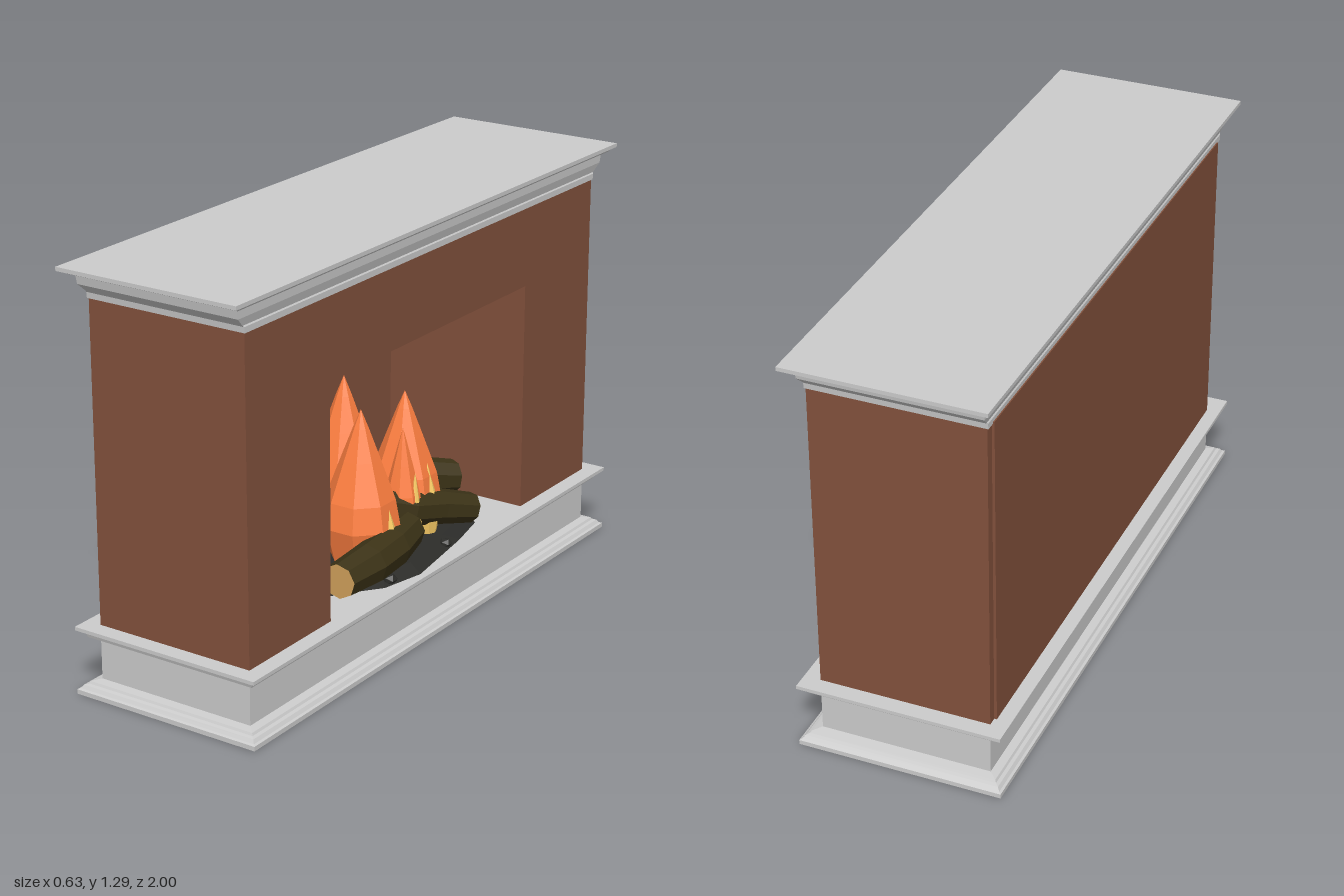
import * as THREE from 'three';

const paint = (color, extra = {}) => new THREE.MeshStandardMaterial({ color, flatShading: true, ...extra });

// Rectangular moulding: rings of [half x, y, half z], stacked and capped
function moulding(rings) {
  const pos = [], idx = [];
  for (const [x, y, z] of rings) pos.push(x, y, z, x, y, -z, -x, y, -z, -x, y, z);
  for (let r = 0; r < rings.length - 1; r++) {
    for (let i = 0; i < 4; i++) {
      const a = r * 4 + i, b = r * 4 + (i + 1) % 4;
      idx.push(a, b, b + 4, a, b + 4, a + 4);
    }
  }
  const t = (rings.length - 1) * 4;
  idx.push(0, 2, 1, 0, 3, 2, t, t + 1, t + 2, t, t + 2, t + 3);
  const geo = new THREE.BufferGeometry();
  geo.setAttribute('position', new THREE.Float32BufferAttribute(pos, 3));
  geo.setIndex(idx);
  const flat = geo.toNonIndexed();
  flat.computeVertexNormals();
  return flat;
}

// Eight-sided teardrop with a pointed tip
function flameGeometry(radius, height) {
  const profile = [[0, 0], [0.75, 0], [1, 0.25], [0.88, 0.42], [0.5, 0.68], [0.2, 0.88], [0, 1]];
  return new THREE.LatheGeometry(profile.map(([r, y]) => new THREE.Vector2(r * radius, y * height)), 8);
}

export function createModel() {
  const model = new THREE.Group();
  const stone = paint(0xcccccc), brick = paint(0x82513c);
  const bark = paint(0x3c3317), cutWood = paint(0xd0a05a);
  const orange = paint(0xff7f40), yellow = paint(0xffd068), ashGrey = paint(0x2c2c29);

  const add = (name, geometry, material, parent = model) => {
    const mesh = new THREE.Mesh(geometry, material);
    mesh.name = name;
    parent.add(mesh);
    return mesh;
  };

  // Stone plinth and mantel, half sizes measured from the wall
  const X = 0.264, Z = 0.913;
  const ring = ([o, y]) => [X + o, y, Z + o];
  add('plinth', moulding([
    [0.052, 0], [0.052, 0.014], [0.045, 0.017], [0.038, 0.027], [0.028, 0.03], [0.024, 0.037],
    [0, 0.042], [0, 0.176], [0.026, 0.176], [0.03, 0.188], [0.034, 0.198], [0.052, 0.2], [0.052, 0.211],
  ].map(ring)), stone);
  add('mantel', moulding([
    [0.268, 1.19, 0.916], [0.268, 1.208, 0.918], [0.265, 1.212, 0.922], [0.272, 1.238, 0.95],
    [0.273, 1.265, 0.955], [0.288, 1.27, 0.972], [0.294, 1.28, 0.984], [0.304, 1.282, 1], [0.304, 1.294, 1],
  ]), stone);

  // Brick chimney breast with an open-bottomed firebox
  const back = -0.23, w = 0.523;
  const outline = new THREE.Shape([
    [-Z, 0.21], [-w, 0.21], [-w, 0.94], [w, 0.94], [w, 0.21], [Z, 0.21], [Z, 1.192], [-Z, 1.192],
  ].map(([x, y]) => new THREE.Vector2(x, y)));
  const breast = add('chimneyBreast',
    new THREE.ExtrudeGeometry(outline, { depth: X - back, bevelEnabled: false }), brick);
  breast.rotation.y = Math.PI / 2;
  breast.position.x = back;
  const backWall = add('backWall', new THREE.BoxGeometry(back + X, 0.982, Z * 2), brick);
  backWall.position.set((back - X) / 2, 0.701, 0);
  const panel = add('backPanel', new THREE.BoxGeometry(0.008, 0.985, 1.77), brick);
  panel.position.set(-X - 0.004, 0.703, 0);

  const fire = new THREE.Group();
  fire.name = 'fire';
  model.add(fire);

  // Uneven ash bed
  const ashGeo = new THREE.LatheGeometry(
    [[1, 0], [0.8, 0.022], [0.4, 0.035], [0, 0.04]].map(([r, y]) => new THREE.Vector2(r, y)), 18);
  const p = ashGeo.attributes.position;
  for (let i = 0; i < p.count; i++) {
    const angle = Math.atan2(p.getZ(i), p.getX(i)), k = 1 + 0.07 * Math.sin(angle * 5);
    p.setXYZ(i, p.getX(i) * 0.22 * k, p.getY(i), p.getZ(i) * 0.43 * k);
  }
  const ash = add('ashBed', ashGeo, paint(0x2c2c29, { side: THREE.DoubleSide }), fire);
  ash.position.set(0.065, 0.211, 0.02);

  // Logs: start, end, radius
  const up = new THREE.Vector3(0, 1, 0);
  [
    [[0.235, 0.29, 0.425], [0.2, 0.3, 0], 0.064],
    [[0.09, 0.375, 0.055], [0.225, 0.272, -0.295], 0.056],
    [[-0.1, 0.375, 0], [0.09, 0.322, -0.395], 0.062],
    [[-0.1, 0.29, 0.43], [0, 0.335, -0.06], 0.058],
  ].forEach(([a, b, r], n) => {
    const start = new THREE.Vector3(...a), end = new THREE.Vector3(...b);
    const axis = end.clone().sub(start);
    const geo = new THREE.CylinderGeometry(r * 0.85, r * 0.85, axis.length(), 8, 3);
    const q = geo.attributes.position;
    for (let i = 0; i < q.count; i++) {
      // Swell and bend the trunk slightly between its cut ends
      const t = q.getY(i) / axis.length(), bulge = 1 + 0.2 * Math.cos(t * Math.PI);
      q.setX(i, q.getX(i) * bulge + 0.012 * Math.cos(t * Math.PI * 2 + n));
      q.setZ(i, q.getZ(i) * bulge);
    }
    const log = add('log', geo, [bark, cutWood, cutWood], fire);
    log.position.copy(start).add(end).multiplyScalar(0.5);
    log.quaternion.setFromUnitVectors(up, axis.normalize());
  });

  // Flames: x, z, tip height, radius, each with a small bright core at its front
  for (const [x, z, tip, r] of [
    [-0.09, 0.23, 0.61, 0.12], [0.11, 0.145, 0.71, 0.12], [-0.03, 0.03, 0.755, 0.125],
    [0.13, -0.05, 0.595, 0.062], [0.08, -0.135, 0.68, 0.115],
  ]) {
    const flame = add('flame', flameGeometry(r, tip - 0.235), orange, fire);
    flame.position.set(x, 0.235, z);
    flame.rotation.y = Math.PI / 8;
    const core = add('flameCore', flameGeometry(r * 0.36, 0.22), yellow, fire);
    core.position.set(x + r * 0.72, 0.24, z);
  }

  // A few cinders
  for (const [x, z, s] of [[0.25, 0.2, 0.025], [0.24, -0.12, 0.022], [0.14, -0.33, 0.025], [-0.08, -0.2, 0.03]]) {
    const cinder = add('cinder', new THREE.IcosahedronGeometry(s, 0), ashGrey, fire);
    cinder.position.set(x, 0.222, z);
    cinder.scale.y = 0.7;
  }
  return model;
}
